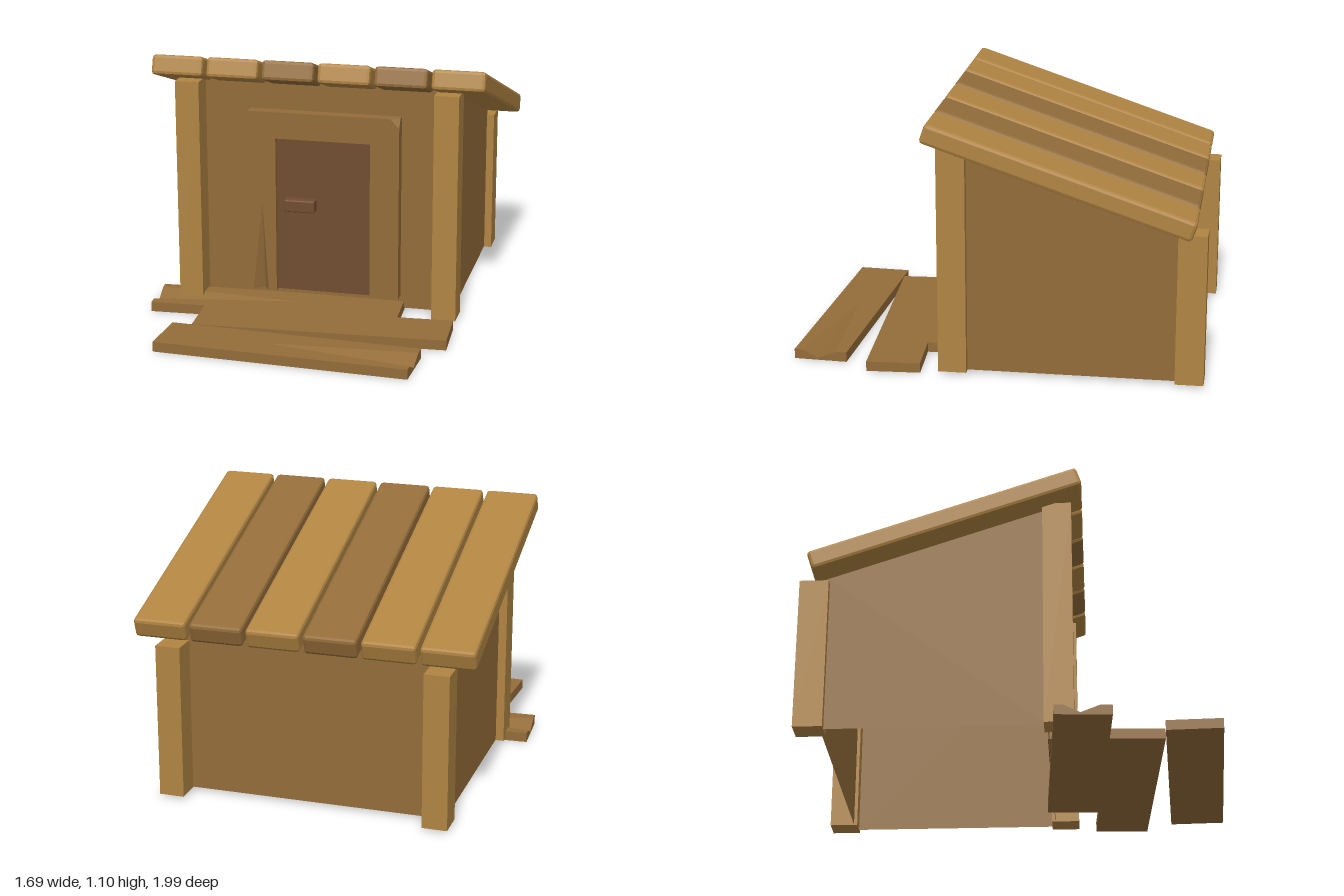
import * as THREE from 'three';
import { RoundedBoxGeometry } from 'three/addons/geometries/RoundedBoxGeometry.js';
import { ConvexGeometry } from 'three/addons/geometries/ConvexGeometry.js';

const paint = (color, side = THREE.FrontSide) =>
  new THREE.MeshStandardMaterial({ color, side, flatShading: true });
const lightWood = paint(0xb08442);
const darkWood = paint(0x936c39);
const wallWood = paint(0x936c39, THREE.DoubleSide);
const doorWood = paint(0x704c30);

function add(parent, name, geometry, material) {
  const mesh = new THREE.Mesh(geometry, material);
  mesh.name = name;
  parent.add(mesh);
  return mesh;
}

// Box given by its minimum and maximum corners
function addBox(parent, name, [x0, y0, z0], [x1, y1, z1], material) {
  const mesh = add(parent, name, new THREE.BoxGeometry(x1 - x0, y1 - y0, z1 - z0), material);
  mesh.position.set((x0 + x1) / 2, (y0 + y1) / 2, (z0 + z1) / 2);
  return mesh;
}

// Joins rings of points; each ring runs counter-clockwise seen from the far end.
// When hub is given, the ends are closed by fans around that point of the ring.
function loft(rings, hub = -1) {
  const out = [];
  const n = rings[0].length;
  const tri = (...corners) => {
    if (new THREE.Triangle(...corners).getArea() > 1e-7) corners.forEach((p) => out.push(p.x, p.y, p.z));
  };
  for (let i = 0; i + 1 < rings.length; i++) {
    const a = rings[i], b = rings[i + 1];
    for (let j = 0; j < n; j++) {
      const k = (j + 1) % n;
      tri(a[j], a[k], b[j]);
      tri(a[k], b[k], b[j]);
    }
  }
  if (hub >= 0) {
    const a = rings[0], b = rings[rings.length - 1];
    for (let j = 0; j < n; j++) {
      const k = (j + 1) % n;
      tri(a[hub], a[k], a[j]);
      tri(b[hub], b[j], b[k]);
    }
  }
  const geometry = new THREE.BufferGeometry();
  geometry.setAttribute('position', new THREE.Float32BufferAttribute(out, 3));
  geometry.computeVertexNormals();
  return geometry;
}

// Board along x with a V-shaped split that widens from apexX to the +x end;
// from, tip and to are fractions of the width at that end.
function splitBoard(length, width, thick, apexX, from, tip, to, depth) {
  const section = (x, open) => {
    const h = width / 2;
    const across = (f) => (f - 0.5) * width * open;
    const p = (y, z) => new THREE.Vector3(x, y, z);
    const t = thick / 2;
    return [p(-t, h), p(-t, -h), p(t, -h), p(t, across(from)),
      p(t - depth * open, across(tip)), p(t, across(to)), p(t, h)];
  };
  return loft([section(-length / 2, 0), section(apexX, 0), section(length / 2, 1)], 4);
}

export function createModel() {
  const model = new THREE.Group();
  model.name = 'shed';

  // Hut, turned slightly away from the front
  const hut = new THREE.Group();
  hut.name = 'hut';
  hut.rotation.y = -0.28;
  model.add(hut);

  // Roof: six chamfered boards sloping down to the back
  const pitch = THREE.MathUtils.degToRad(18.5);
  const roof = new THREE.Group();
  roof.name = 'roof';
  roof.position.set(-0.06, 0.885, -0.25);
  roof.rotation.x = -pitch;
  hut.add(roof);
  for (let i = 0; i < 6; i++) {
    const board = add(roof, 'roofBoard', new RoundedBoxGeometry(0.2225, 0.085, 1.153, 1, 0.014),
      i === 2 || i === 4 ? darkWood : lightWood);
    board.position.x = (i - 2.5) * 0.2395;
  }
  const underside = (z) => 0.84 + Math.tan(pitch) * (z + 0.25);

  // Thin walls, open below, cut to the slope of the roof
  const plan = [[-0.645, 0.157], [0.505, 0.157], [0.505, -0.74], [-0.645, -0.74]];
  add(hut, 'walls', loft([
    plan.map(([x, z]) => new THREE.Vector3(x, 0.012, z)),
    plan.map(([x, z]) => new THREE.Vector3(x, underside(z) + 0.01, z)),
  ]), wallWood);

  // Corner posts
  for (const x of [-0.68, 0.434]) {
    addBox(hut, 'frontPost', [x, 0.01, 0.143], [x + 0.104, 0.99, 0.262], lightWood);
    addBox(hut, 'backPost', [x, 0.01, -0.845], [x + 0.104, 0.655, -0.726], lightWood);
  }

  // Door frame: split left jamb, plain right jamb, lintel with a chipped corner
  const back = 0.15, front = 0.211;
  const jamb = add(hut, 'splitJamb',
    splitBoard(0.685, 0.12, front - back, -0.055, 0.3, 0.5, 0.87, 0.035), darkWood);
  jamb.quaternion.setFromRotationMatrix(new THREE.Matrix4().makeBasis(
    new THREE.Vector3(0, -1, 0), new THREE.Vector3(0, 0, 1), new THREE.Vector3(-1, 0, 0)));
  jamb.position.set(-0.317, 0.4075, (back + front) / 2);
  addBox(hut, 'plainJamb', [0.154, 0.065, back], [0.279, 0.75, front], darkWood);
  const lintel = [[0.24, 0.865, front], [0.279, 0.825, front], [0.279, 0.865, 0.185],
    [-0.377, 0.865, front], [-0.377, 0.75, front], [0.279, 0.75, front],
    [-0.377, 0.865, back], [-0.377, 0.75, back], [0.279, 0.75, back], [0.279, 0.865, back]];
  add(hut, 'lintel', new ConvexGeometry(lintel.map((p) => new THREE.Vector3(...p))), darkWood);

  // Door and handle
  addBox(hut, 'door', [-0.26, 0.065, back], [0.157, 0.753, 0.181], doorWood);
  const handle = add(hut, 'doorHandle', new RoundedBoxGeometry(0.135, 0.055, 0.045, 1, 0.006), doorWood);
  handle.position.set(-0.153, 0.457, 0.2);

  // Loose planks lying before the door: x, z, turn, split or whole
  const planks = [[-0.278, 0.71, -0.328, true], [-0.12, 0.465, -0.227, false],
    [-0.3, 0.195, Math.PI - 0.227, true]];
  for (const [x, z, turn, split] of planks) {
    const geometry = split
      ? splitBoard(1.07, 0.228, 0.042, -0.08, 0.2, 0.55, 0.85, 0.033)
      : new THREE.BoxGeometry(1.07, 0.042, 0.228);
    const plank = add(model, 'groundPlank', geometry, darkWood);
    plank.position.set(x, 0.021, z);
    plank.rotation.y = turn;
  }
  return model;
}
